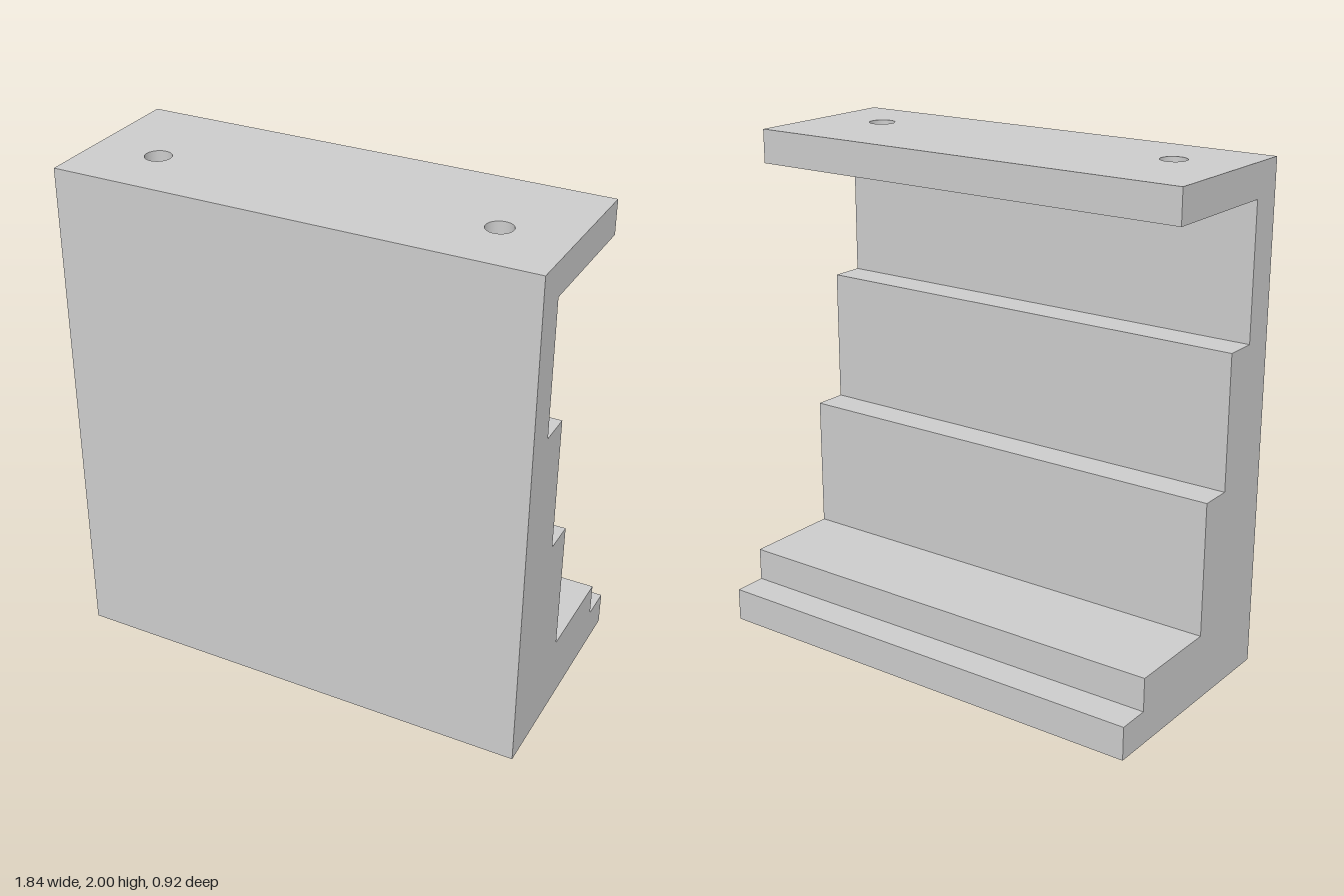
import * as THREE from 'three';

const U = 1.975 / 15;      // thickness module: the body is 14 x 15 x 7 modules
const BASE = 0.025;        // underside of the body
const W = 14 * U;
const material = new THREE.MeshStandardMaterial({ color: 0xcccccc });

// Plate spanning x by z with two round holes, standing on y = bottom
function holedPlate(name, bottom, height, radius) {
  const back = -1.5 * U, front = 3.5 * U;
  const shape = new THREE.Shape([
    new THREE.Vector2(-W / 2, -front), new THREE.Vector2(W / 2, -front),
    new THREE.Vector2(W / 2, -back), new THREE.Vector2(-W / 2, -back),
  ]);
  for (const side of [-1, 1]) {
    shape.holes.push(new THREE.Path().absarc(side * 5 * U, -1.5 * U, radius, 0, Math.PI * 2, true));
  }
  const geo = new THREE.ExtrudeGeometry(shape, { depth: height, bevelEnabled: false, curveSegments: 32 });
  geo.rotateX(-Math.PI / 2).translate(0, bottom, 0);
  const mesh = new THREE.Mesh(geo, material);
  mesh.name = name;
  return mesh;
}

export function createModel() {
  const model = new THREE.Group();
  model.name = 'steppedBracket';

  // Stepped body: side profile in modules (z, y), extruded across the width
  const profile = [
    [3.5, 0], [3.5, 14], [2.5, 14], [2.5, 10], [1.5, 10], [1.5, 6],
    [0.5, 6], [0.5, 2], [-2.5, 2], [-2.5, 1], [-3.5, 1], [-3.5, 0],
  ].map(([z, y]) => new THREE.Vector2(z * U, BASE + y * U));
  const bodyGeo = new THREE.ExtrudeGeometry(new THREE.Shape(profile), { depth: W, bevelEnabled: false });
  bodyGeo.translate(0, 0, -W / 2).rotateY(-Math.PI / 2);
  const body = new THREE.Mesh(bodyGeo, material);
  body.name = 'steppedBody';
  model.add(body);

  // Top flange in two layers: wide counterbores below, narrow screw holes above
  const flangeBottom = BASE + 14 * U;
  model.add(holedPlate('flangeCounterboreLayer', flangeBottom, U / 2, 0.08));
  model.add(holedPlate('flangeScrewHoleLayer', flangeBottom + U / 2, U / 2, 0.05));

  // Small locating pin under the base
  const pin = new THREE.Mesh(new THREE.CylinderGeometry(0.02, 0.02, BASE, 24), material);
  pin.name = 'locatingPin';
  pin.position.y = BASE / 2;
  model.add(pin);

  return model;
}
